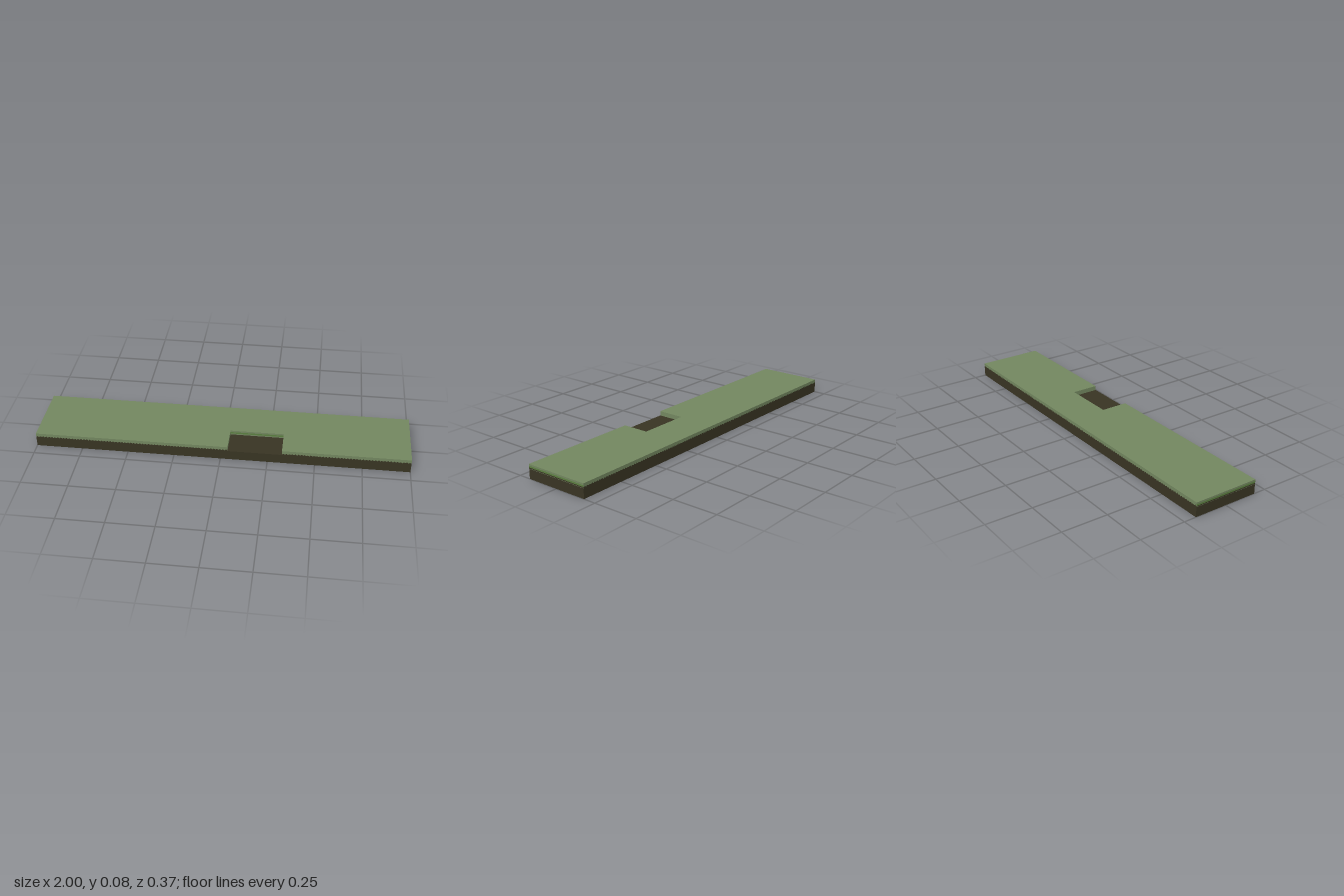
import * as THREE from 'three';

const HALF_X = 1, HALF_Z = 0.182;
const SOIL_TOP = 0.053, TOP = 0.078;
const NOTCH = { x0: 0.038, x1: 0.326, z: 0.033 };

export function createModel() {
  const model = new THREE.Group();
  const grass = new THREE.MeshStandardMaterial({ name: 'grass', color: 0x72865f });
  const soil = new THREE.MeshStandardMaterial({ name: 'soil', color: 0x383423 });
  const freshGrass = new THREE.MeshStandardMaterial({ name: 'fresh grass', color: 0x5b7f40 });

  const add = (name, geometry, material, x = 0, y = 0, z = 0, turn = 0) => {
    const mesh = new THREE.Mesh(geometry, material);
    mesh.name = name;
    mesh.position.set(x, y, z);
    mesh.rotation.y = turn;
    model.add(mesh);
  };

  // Soil slab, which is also the floor of the notch
  add('soilBase', new THREE.BoxGeometry(HALF_X * 2, SOIL_TOP, HALF_Z * 2), soil, 0, SOIL_TOP / 2);

  // Turf layer with a rectangular notch open to the front
  const plan = new THREE.Shape([
    [-HALF_X, -HALF_Z], [NOTCH.x0, -HALF_Z], [NOTCH.x0, -NOTCH.z], [NOTCH.x1, -NOTCH.z],
    [NOTCH.x1, -HALF_Z], [HALF_X, -HALF_Z], [HALF_X, HALF_Z], [-HALF_X, HALF_Z],
  ].map(([x, y]) => new THREE.Vector2(x, y)));
  const turf = new THREE.ExtrudeGeometry(plan, { depth: TOP - SOIL_TOP, bevelEnabled: false });
  turf.rotateX(-Math.PI / 2);
  add('turf', turf, grass, 0, SOIL_TOP);

  // Ragged soil edge between the hanging grass blades
  let seed = 7;
  const random = () => (seed = (seed * 16807) % 2147483647) / 2147483647;
  const fringe = (x0, x1) => {
    const shape = new THREE.Shape();
    const steps = Math.round((x1 - x0) / 0.008);
    shape.moveTo(x0, SOIL_TOP - 0.002);
    shape.lineTo(x1, SOIL_TOP - 0.002);
    for (let i = steps; i >= 0; i--) {
      const x = x0 + (x1 - x0) * i / steps;
      shape.lineTo(x, (i % 2 ? 0.062 : 0.056) + random() * 0.002);
    }
    shape.closePath();
    return new THREE.ShapeGeometry(shape);
  };
  const faceZ = HALF_Z + 0.0008;
  add('frontFringeRight', fringe(-HALF_X, NOTCH.x0), soil, 0, 0, faceZ);
  add('frontFringeLeft', fringe(NOTCH.x1, HALF_X), soil, 0, 0, faceZ);
  add('backFringe', fringe(-HALF_X, HALF_X), soil, 0, 0, -faceZ, Math.PI);

  // Thin bands on both ends
  for (const side of [-1, 1]) {
    const band = (name, y0, y1, material) => add(name,
      new THREE.PlaneGeometry(HALF_Z * 2, y1 - y0), material,
      side * (HALF_X + 0.0006), (y0 + y1) / 2, 0, side * Math.PI / 2);
    band('endSoilBand', 0.055, 0.06, soil);
    band('endGrassBand', 0.06, 0.069, freshGrass);
  }

  // Fresh grass band along the back wall of the notch
  add('notchGrassBand', new THREE.PlaneGeometry(NOTCH.x1 - NOTCH.x0, 0.009), freshGrass,
    (NOTCH.x0 + NOTCH.x1) / 2, 0.0645, NOTCH.z + 0.0006);

  return model;
}
